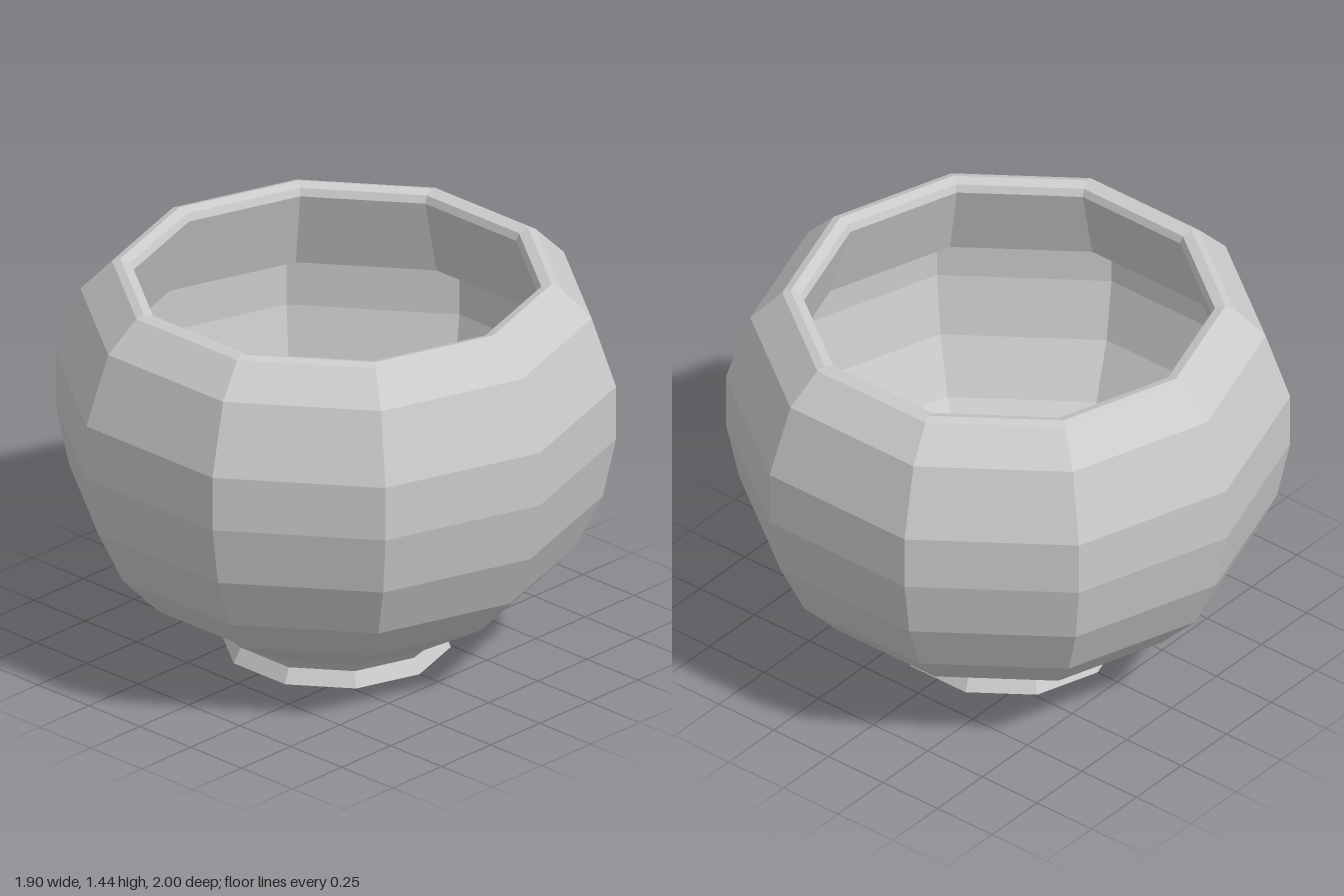
import * as THREE from 'three';

const SIDES = 10;

// Ten-sided shell turned from [radius, height] points, with a corner on +z
function turned(name, profile, material) {
  const points = profile.map(([r, y]) => new THREE.Vector2(r, y));
  const mesh = new THREE.Mesh(new THREE.LatheGeometry(points, SIDES), material);
  mesh.name = name;
  return mesh;
}

export function createModel() {
  const group = new THREE.Group();
  group.name = 'bowl';
  const material = new THREE.MeshStandardMaterial({
    color: 0xcccccc, flatShading: true, side: THREE.DoubleSide,
  });

  // Flared foot ring, open underneath
  group.add(turned('foot', [[0.41, 0], [0.382, 0.055]], material));

  // Rounded thin-walled body
  group.add(turned('body', [
    [0.382, 0.055], [0.43, 0.1], [0.71, 0.268], [0.855, 0.42], [0.953, 0.625],
    [1, 0.85], [1, 1.055], [0.913, 1.315], [0.8, 1.43], [0.77, 1.44],
  ], material));

  // Rim turning inward, with a lip hanging inside the mouth
  group.add(turned('innerLip', [
    [0.77, 1.44], [0.733, 1.428], [0.722, 1.4], [0.815, 1.1],
  ], material));

  return group;
}
